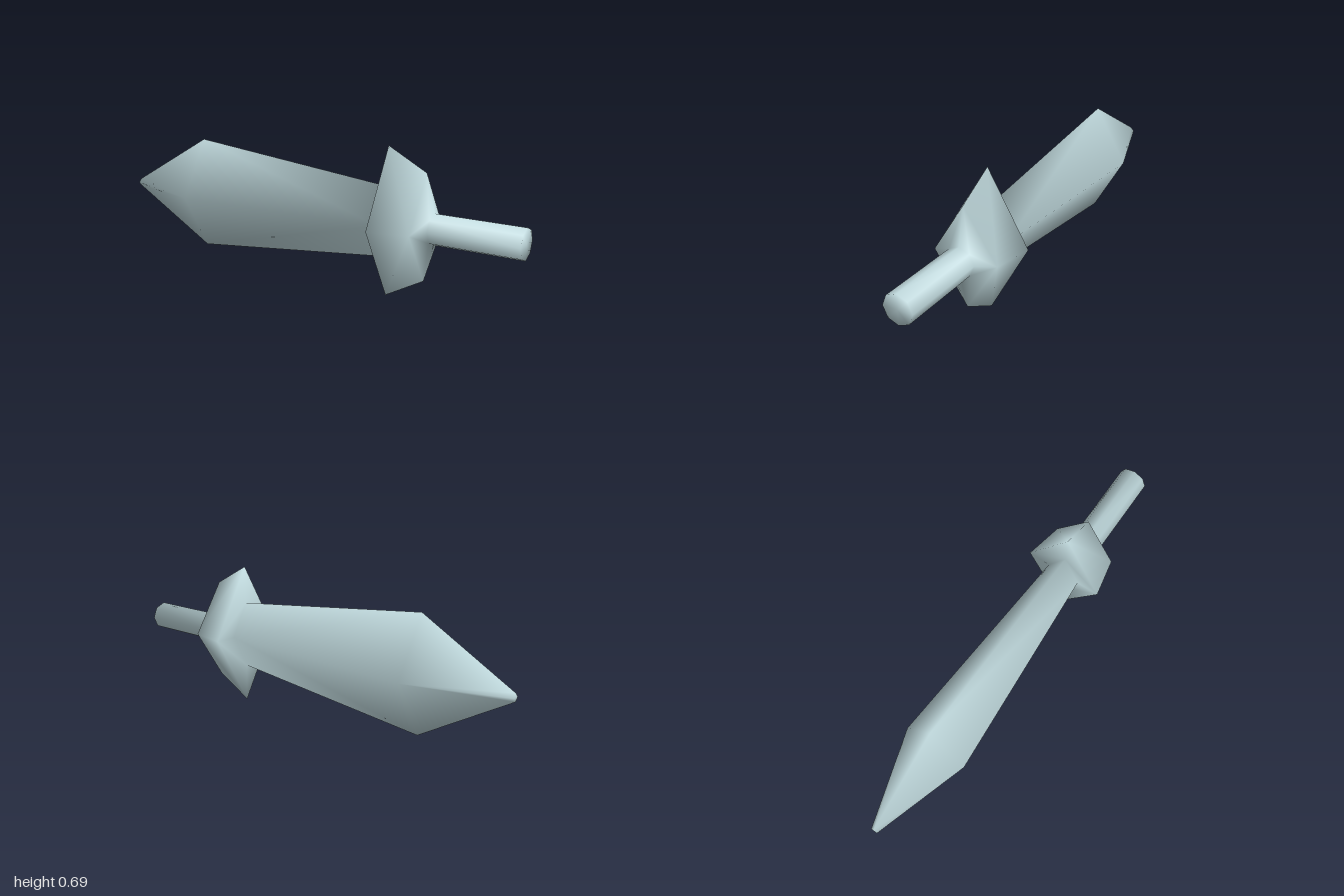
import * as THREE from 'three';

const steel = new THREE.MeshStandardMaterial({ color: 0xbfd8dc });
steel.name = 'pale steel';

// Ring of points around the sword axis (-z): half width, half height, distance from the pommel
function ring(w, h, u, sides) {
  const pts = [];
  for (let j = 0; j < sides; j++) {
    const a = (j / sides) * Math.PI * 2;
    pts.push([Math.cos(a) * w, Math.sin(a) * h, -u]);
  }
  return pts;
}

// Skin joining two four-cornered rings, every quad split from its side corner
function band(p, q) {
  const tris = [];
  for (let j = 0; j < 4; j++) {
    const k = (j + 1) % 4;
    if (j % 2 === 0) tris.push([p[j], q[j], q[k]], [p[j], q[k], p[k]]);
    else tris.push([p[j], q[j], p[k]], [p[k], q[j], q[k]]);
  }
  return tris;
}

// Fan closing a ring around a centre point
function cap(p, atTip) {
  const centre = [0, 0, p[0][2]];
  return p.map((a, j) => {
    const b = p[(j + 1) % p.length];
    return atTip ? [centre, b, a] : [centre, a, b];
  });
}

// Smooth normals: every face counts equally at the corners it shares
function smoothNormals(tris) {
  const sums = new Map();
  for (const t of tris) {
    const [a, b, c] = t.map((p) => new THREE.Vector3(...p));
    const n = b.sub(a).cross(c.sub(a)).normalize();
    for (const p of t) {
      if (!sums.has(p)) sums.set(p, new THREE.Vector3());
      sums.get(p).add(n);
    }
  }
  return sums;
}

function makeMesh(name, tris, sums) {
  const points = tris.flat();
  const normals = points.flatMap((p) => sums.get(p).clone().normalize().toArray());
  const g = new THREE.BufferGeometry();
  g.setAttribute('position', new THREE.Float32BufferAttribute(points.flat(), 3));
  g.setAttribute('normal', new THREE.Float32BufferAttribute(normals, 3));
  const mesh = new THREE.Mesh(g, steel);
  mesh.name = name;
  return mesh;
}

export function createModel() {
  // Cross-sections from pommel to tip
  const pommel = ring(0.072, 0.071, 0, 8);
  const collar = ring(0.072, 0.071, 0.408, 8);
  const guardBack = ring(0.158, 0.243, 0.45, 4);
  const guardFront = ring(0.195, 0.344, 0.636, 4);
  const bladeBase = ring(0.084, 0.162, 0.638, 4);
  const shoulder = ring(0.158, 0.274, 1.677, 4);
  const point = ring(0.016, 0.018, 2.125, 4);

  // Octagonal grip
  const grip = cap(pommel, false);
  for (let j = 0; j < 8; j++) {
    const k = (j + 1) % 8;
    grip.push([pommel[j], collar[j], pommel[k]], [pommel[k], collar[j], collar[k]]);
  }

  // Diamond guard, spreading from the octagonal collar
  const guard = [...band(guardBack, guardFront), ...band(guardFront, bladeBase)];
  for (let j = 0; j < 4; j++) {
    const k = (j + 1) % 4;
    const mid = collar[2 * j + 1];
    guard.push(
      [collar[2 * j], guardBack[j], mid],
      [mid, guardBack[j], guardBack[k]],
      [mid, guardBack[k], collar[2 * k]],
    );
  }

  // Diamond-section blade, widening to the shoulder and closing to a blunt point
  const blade = [...band(bladeBase, shoulder), ...band(shoulder, point), ...cap(point, true)];

  // Normals run on across the joints so the whole sword shades as one skin
  const sums = smoothNormals([...grip, ...guard, ...blade]);
  const sword = new THREE.Group();
  sword.name = 'sword';
  sword.add(makeMesh('grip', grip, sums), makeMesh('guard', guard, sums), makeMesh('blade', blade, sums));
  sword.rotation.y = 0.391;
  sword.position.set(0.377, 0.346, 0.969);

  const model = new THREE.Group();
  model.add(sword);
  return model;
}
